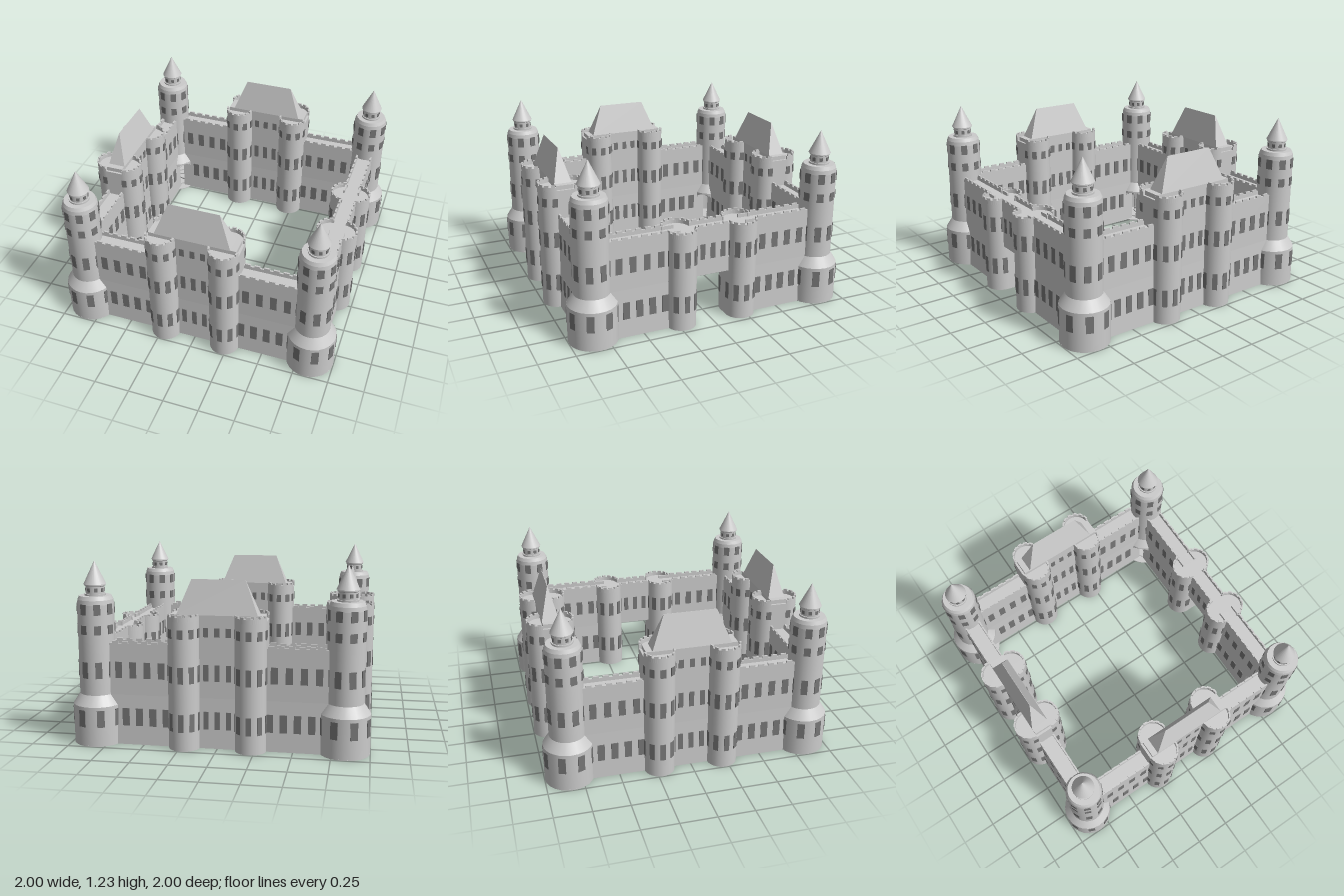
import * as THREE from 'three';
import { mergeGeometries } from 'three/addons/utils/BufferGeometryUtils.js';

const C = 0.832;      // distance of wall centre lines from the middle
const HALF = 0.06;    // half thickness of the walls
const stone = new THREE.MeshStandardMaterial({ color: 0xcccccc, side: THREE.DoubleSide });
const glass = new THREE.MeshStandardMaterial({ color: 0x777777 });

function add(parent, name, geos, material = stone) {
  const flat = [].concat(geos).map(g => (g.index ? g.toNonIndexed() : g));
  const mesh = new THREE.Mesh(mergeGeometries(flat), material);
  mesh.name = name;
  parent.add(mesh);
  return mesh;
}

const box = (w, h, d, x, y, z) => new THREE.BoxGeometry(w, h, d).translate(x, y, z);

// Box at an angle around a vertical axis, pushed out to radius r
const radialBox = (w, h, d, r, a, y, cx = 0, cz = 0) =>
  box(w, h, d, 0, y, r).rotateY(a).translate(cx, 0, cz);

// Round body from [radius, y] pairs, with a sharp edge at every pair
function turned(points, sides = 20, start = 0, length = Math.PI * 2) {
  return points.slice(1).map(([r, y], i) => {
    const [r0, y0] = points[i];
    return new THREE.CylinderGeometry(r, r0, Math.max(y - y0, 1e-5), sides, 1, true, start, length)
      .translate(0, (y + y0) / 2, 0);
  });
}

// Wall section (half outline, mirrored) drawn out along x
function wallRun(half, x0, x1) {
  const pts = [...half, ...half.map(([z, y]) => [-z, y]).reverse()];
  const shape = new THREE.Shape(pts.map(p => new THREE.Vector2(...p)));
  return new THREE.ExtrudeGeometry(shape, { depth: x1 - x0, bevelEnabled: false })
    .rotateY(Math.PI / 2).translate(x0, 0, 0);
}

// Wall with a battered foot, sunken walk and two parapets
const wallSection = (foot = 0) => [
  ...(foot ? [[HALF, foot]] : [[0.07, 0], [HALF, 0.34]]),
  [HALF, 0.69], [HALF - 0.012, 0.69], [HALF - 0.012, 0.665],
];

function merlonRow(x0, x1, n, y) {
  const out = [];
  const step = (x1 - x0) / n;
  for (let i = 0; i < n; i++)
    for (const s of [-1, 1])
      out.push(box(step * 0.6, 0.016, 0.012, x0 + (i + 0.5) * step, y + 0.006, s * (HALF - 0.006)));
  return out;
}

// Half-round parapet with merlons
function roundParapet(r, y, cx, cz, turn) {
  const shape = new THREE.Shape();
  shape.absarc(0, 0, r, 0, Math.PI, false);
  shape.absarc(0, 0, r - 0.012, Math.PI, 0, true);
  const out = [new THREE.ExtrudeGeometry(shape, { depth: 0.03, bevelEnabled: false, curveSegments: 12 })
    .rotateX(Math.PI / 2).rotateY(turn).translate(cx, y, cz)];
  for (let i = 0; i < 7; i++) {
    const a = turn + (i - 3) * 0.45;
    out.push(radialBox(0.028, 0.016, 0.012, r - 0.006, a, y + 0.006, cx, cz));
  }
  return out;
}

// One side of the castle, running along x and facing +z
function createSide(isGate) {
  const side = new THREE.Group();
  side.name = isGate ? 'gateSide' : 'hallSide';
  const top = isGate ? 0.69 : 0.89;
  const r = 0.104;
  const offset = isGate ? 0.042 : 0.062;
  const windows = [];
  const rows = [[0.19, 0.12], [0.51, 0.11]];

  // Curtain walls
  const walls = [], merlons = [];
  for (const s of [-1, 1]) {
    const [x0, x1] = s < 0 ? [-0.74, -0.24] : [0.24, 0.74];
    walls.push(wallRun(wallSection(), x0, x1));
    merlons.push(...merlonRow(s < 0 ? -0.72 : 0.32, s < 0 ? -0.32 : 0.72, 6, 0.69));
    for (const face of [-1, 1]) {
      for (let i = 0; i < 4; i++) {
        windows.push(box(0.048, 0.12, 0.012, s * (0.345 + i * 0.092), 0.19, face * 0.0625));
        windows.push(box(0.046, 0.11, 0.012, s * (0.375 + i * 0.097), 0.51, face * 0.057));
      }
    }
  }

  // Paired half-round towers
  const towers = [], parapets = [];
  for (const x of [-0.222, 0.222]) {
    towers.push(box(r * 2, top - 0.025, offset * 2, x, (top - 0.025) / 2, 0));
    for (const s of [-1, 1]) {
      const turn = s > 0 ? 0 : Math.PI;
      towers.push(new THREE.CylinderGeometry(r, r, top - 0.025, 24)
        .translate(x, (top - 0.025) / 2, s * offset));
      // The half ring bulges towards -z before turning
      parapets.push(...roundParapet(r, top, x, s * offset, turn));
      const towerRows = isGate ? rows : [...rows, [0.78, 0.06]];
      for (const [y, h] of towerRows)
        for (let i = -2; i <= 2; i++)
          windows.push(radialBox(0.036, h, 0.01, r - 0.002, turn + i * 0.72, y, x, s * offset));
    }
  }

  // Middle block: a bridge over the gateway, or a roofed hall
  if (isGate) {
    walls.push(wallRun(wallSection(0.34), -0.13, 0.13));
    merlons.push(...merlonRow(-0.12, 0.12, 4, 0.69));
  } else {
    walls.push(wallRun([[0.07, 0], [HALF, 0.34], [HALF, 0.895]], -0.31, 0.31));
    add(side, 'hippedRoof', hippedRoof(0.268, 0.062, 0.178, 0.893, 1.12));
  }
  const midRows = isGate ? [[0.51, 0.11]] : [...rows, [0.78, 0.06]];
  for (const [y, h] of midRows)
    for (const x of [-0.075, 0, 0.075])
      for (const face of [-1, 1])
        windows.push(box(0.034, h, 0.012, x, y, face * (y < 0.3 ? 0.0625 : 0.057)));

  add(side, 'curtainWalls', walls);
  add(side, 'wallMerlons', merlons);
  add(side, 'wallTowers', towers);
  add(side, 'towerParapets', parapets);
  add(side, 'wallWindows', windows, glass);
  return side;
}

// Box whose upper corners are drawn in to a ridge
function hippedRoof(halfLength, halfWidth, halfRidge, y0, y1) {
  const geo = new THREE.BoxGeometry(halfLength * 2, y1 - y0, halfWidth * 2).toNonIndexed();
  const p = geo.attributes.position;
  for (let i = 0; i < p.count; i++) {
    if (p.getY(i) > 0) p.setXYZ(i, Math.sign(p.getX(i)) * halfRidge, p.getY(i), 0.001 * Math.sign(p.getZ(i)));
  }
  geo.translate(0, (y0 + y1) / 2, 0);
  geo.computeVertexNormals();
  return geo;
}

// Corner tower whose arched doorway faces +z
function createCornerTower() {
  const tower = new THREE.Group();
  tower.name = 'cornerTower';
  const gap = 0.6, R = 0.167;

  // Hollow foot with an arched doorway made of narrow strips
  const foot = turned([[R, 0], [R, 0.27]], 20, gap, Math.PI * 2 - gap * 2);
  const strips = 10, w = gap * 2 / strips;
  for (let i = 0; i < strips; i++) {
    const t = (i + 0.5) / strips * 2 - 1;
    foot.push(...turned([[R, 0.16 + 0.1 * Math.sqrt(1 - t * t)], [R, 0.27]], 1, -gap + i * w, w));
  }
  foot.push(new THREE.CylinderGeometry(R, R, 0.006, 20).translate(0, 0.003, 0));
  add(tower, 'towerFoot', foot);

  // Shaft, rounded shoulder and top turret
  add(tower, 'towerShaft', turned([[R, 0.27], [0.122, 0.34], [0.122, 0.945], [0.118, 0.975],
    [0.107, 1.0], [0.001, 1.0]], 24));
  add(tower, 'shaftFloor', new THREE.CylinderGeometry(0.12, 0.12, 0.006, 24).translate(0, 0.337, 0));
  add(tower, 'turret', turned([[0.07, 1.0], [0.07, 1.012], [0.062, 1.012], [0.062, 1.06],
    [0.07, 1.065], [0.07, 1.075]], 20));
  add(tower, 'turretRoof', new THREE.ConeGeometry(0.075, 0.155, 24).translate(0, 1.1525, 0));

  // Spiral stair around a newel
  const stair = [new THREE.CylinderGeometry(0.014, 0.014, 0.334, 10).translate(0, 0.167, 0)];
  for (let i = 0; i < 12; i++)
    stair.push(radialBox(0.05, 0.012, 0.11, 0.06, i * 0.5, 0.025 + i * 0.026));
  add(tower, 'spiralStair', stair);

  // Ring windows
  const windows = [];
  const rings = [[R, 0.19, 0.115, 0.05], [0.122, 0.51, 0.11, 0.045], [0.122, 0.78, 0.06, 0.045],
    [0.122, 0.915, 0.07, 0.045], [0.062, 1.037, 0.025, 0.022]];
  for (const [r, y, h, width] of rings)
    for (let i = 0; i < 8; i++) {
      const a = (i + 0.5) * Math.PI / 4;
      if (r === R && (i === 0 || i === 7)) continue;
      windows.push(radialBox(width, h, 0.01, r - 0.003, a, y));
    }
  add(tower, 'towerWindows', windows, glass);
  return tower;
}

export function createModel() {
  const castle = new THREE.Group();
  castle.name = 'castle';
  for (let i = 0; i < 4; i++) {
    const a = i * Math.PI / 2;
    const side = createSide(i === 1);
    side.rotation.y = a;
    side.position.set(Math.sin(a) * C, 0, Math.cos(a) * C);
    castle.add(side);
  }
  for (const x of [-C, C])
    for (const z of [-C, C]) {
      const tower = createCornerTower();
      tower.position.set(x, 0, z);
      tower.rotation.y = Math.atan2(-x, -z);
      castle.add(tower);
    }
  return castle;
}
